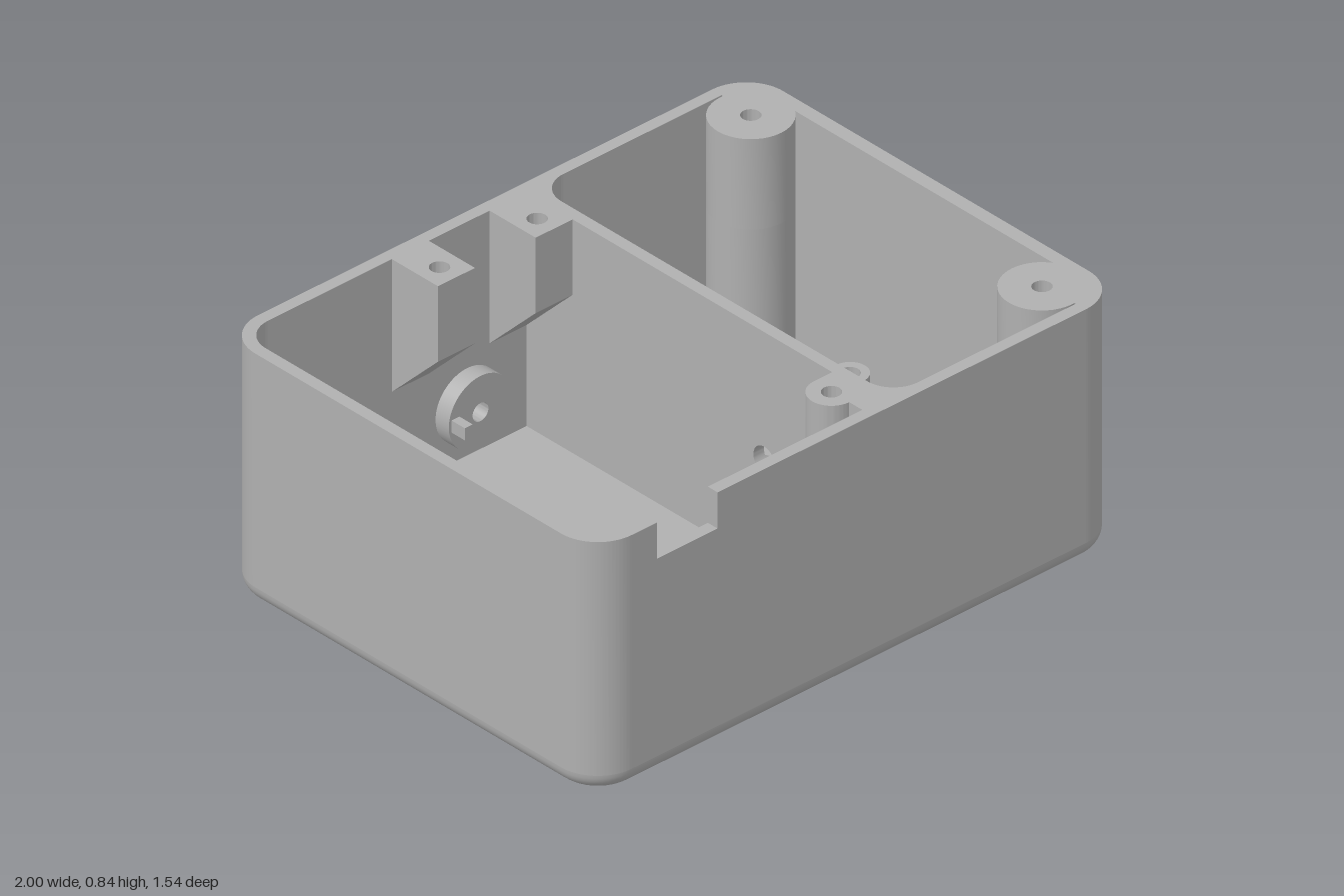
import * as THREE from 'three';
import { toCreasedNormals } from 'three/addons/utils/BufferGeometryUtils.js';

const W = 1, D = 0.77, TOP = 0.835, FLOOR = 0.06, R = 0.14, WALL = 0.04;
const IN = D - WALL; // inner face of the front and back walls

export function createModel() {
  const model = new THREE.Group();
  model.name = 'enclosure';
  const grey = new THREE.MeshStandardMaterial({ color: 0xb0b0b0 });
  grey.name = 'grey plastic';

  const add = (name, geo) => {
    const mesh = new THREE.Mesh(toCreasedNormals(geo, 0.6), grey);
    mesh.name = name;
    model.add(mesh);
    return mesh;
  };
  const extrude = (shape, depth) =>
    new THREE.ExtrudeGeometry(shape, { depth, bevelEnabled: false, curveSegments: 20 });
  // plan shapes use (x, -z) and rise from y0 to y1
  const rise = (shape, y0, y1) => extrude(shape, y1 - y0).rotateX(-Math.PI / 2).translate(0, y0, 0);
  // side shapes use (-z, y) and run from x0 to x1
  const across = (shape, x0, x1) => extrude(shape, x1 - x0).rotateY(Math.PI / 2).translate(x0, 0, 0);
  const poly = (...pts) => new THREE.Shape(pts.map(([x, y]) => new THREE.Vector2(x, y)));
  const rect = (x0, y0, x1, y1) => poly([x0, y0], [x1, y0], [x1, y1], [x0, y1]);
  const disc = (x, y, r) => new THREE.Shape().absarc(x, y, r, 0, Math.PI * 2, false);
  const pierce = (shape, x, y, r) => {
    shape.holes.push(new THREE.Path().absarc(x, y, r, 0, Math.PI * 2, true));
    return shape;
  };

  // outline of the box at a given inset, as (x, -z) points
  const outline = (inset) => {
    const pts = [], n = 12, r = R - inset;
    [[1, 1], [-1, 1], [-1, -1], [1, -1]].forEach(([sx, sy], q) => {
      for (let i = 0; i <= n; i++) {
        const a = (q + i / n) * Math.PI / 2;
        pts.push(new THREE.Vector2(sx * (W - R) + r * Math.cos(a), sy * (D - R) + r * Math.sin(a)));
      }
    });
    return pts;
  };

  // floor with a round hexagonal-lattice grille
  const base = new THREE.Shape(outline(FLOOR));
  const pitch = 0.054, gx = 0.577, gz = 0.08;
  for (let k = -5; k <= 5; k++) {
    for (let i = -5; i <= 5; i++) {
      const dx = (i + (k % 2 ? 0.5 : 0)) * pitch, dz = k * pitch * 0.866;
      if (Math.hypot(dx, dz) < 0.252) {
        base.holes.push(new THREE.Path(
          new THREE.Path().absarc(gx + dx, -(gz + dz), 0.02, 0, Math.PI * 2, true).getPoints(8)));
      }
    }
  }
  add('floor with grille', rise(base, 0, FLOOR));

  // rounded lower edge, closed by a flat ledge under the walls
  const profile = [];
  for (let i = 0; i <= 8; i++) {
    const a = i / 8 * Math.PI / 2;
    profile.push([FLOOR * (1 - Math.sin(a)), FLOOR * (1 - Math.cos(a))]);
  }
  profile.push([FLOOR, FLOOR]);
  const pos = [], idx = [], count = outline(0).length;
  profile.forEach(([inset, y]) => outline(inset).forEach((p) => pos.push(p.x, y, -p.y)));
  for (let j = 0; j < profile.length - 1; j++) {
    for (let i = 0; i < count; i++) {
      const a = j * count + i, b = j * count + (i + 1) % count;
      idx.push(a, b, b + count, a, b + count, a + count);
    }
  }
  const edge = new THREE.BufferGeometry();
  edge.setAttribute('position', new THREE.Float32BufferAttribute(pos, 3));
  edge.setIndex(idx);
  add('rounded lower edge', edge.toNonIndexed());

  // front wall with a cable notch
  const cx = W - R;
  add('front wall', extrude(poly([-cx, FLOOR], [cx, FLOOR], [cx, TOP], [-0.535, TOP],
    [-0.535, 0.715], [-0.765, 0.715], [-0.765, TOP], [-cx, TOP]), WALL)).position.z = IN;

  // back wall with a shaft hole, and the round mount with its locating pin
  const hx = -0.105, hy = 0.23;
  add('back wall', extrude(pierce(rect(-cx, FLOOR, cx, TOP), hx, hy, 0.03), WALL)).position.z = -D;
  add('shaft mount', extrude(pierce(disc(hx, hy, 0.12), hx, hy, 0.03), 0.055)).position.z = -IN;
  add('locating pin', new THREE.BoxGeometry(0.03, 0.04, 0.06)).position.set(-0.2, hy, -0.65);

  // side walls
  const sd = D - R;
  add('right wall', rise(rect(-W, -sd, -W + WALL, sd), FLOOR, TOP));
  add('left wall', rise(rect(W - 0.045, -sd, W, sd), FLOOR, TOP));

  // rounded corners
  [[1, 1], [-1, 1], [-1, -1], [1, -1]].forEach(([sx, sy], q) => {
    const a = q * Math.PI / 2, b = a + Math.PI / 2;
    const corner = new THREE.Shape()
      .absarc(sx * cx, sy * sd, R, a, b, false)
      .absarc(sx * cx, sy * sd, sx > 0 ? 0.09 : R - WALL, b, a, true);
    add('corner', rise(corner, FLOOR, TOP));
  });

  // partition with a wire hole, and the fillets beside it
  add('partition', across(pierce(rect(-IN, FLOOR, IN, TOP), -0.25, 0.41, 0.045), 0.12, 0.16));
  for (const s of [1, -1]) {
    const fillet = new THREE.Shape().moveTo(0.16, s * IN).lineTo(0.26, s * IN)
      .absarc(0.26, s * (IN - 0.1), 0.1, s * Math.PI / 2, s * Math.PI, s < 0);
    add('partition fillet', rise(fillet, FLOOR, TOP));
  }

  // solid column with a blind screw hole in its top
  const column = (name, makeShape, x, y, y1, depth) => {
    add(name, rise(makeShape(), FLOOR, y1 - depth));
    add(name + ' top', rise(pierce(makeShape(), x, y, 0.03), y1 - depth, y1));
  };
  for (const s of [1, -1]) {
    column('corner screw post', () => disc(0.85, s * 0.6, 0.125), 0.85, s * 0.6, TOP, 0.3);
  }
  column('front screw post', () => new THREE.Shape().moveTo(0.13, -0.53).lineTo(0.05, -0.53)
    .absarc(0.05, -0.603, 0.073, Math.PI / 2, Math.PI * 1.5, false)
    .lineTo(0.05, -IN - 0.01).lineTo(0.13, -IN - 0.01), 0.05, -0.603, TOP, 0.3);

  // hanging screw blocks with sloped undersides
  for (const [x0, x1, hole] of [[-0.39, -0.25, -0.32], [-0.02, 0.12, 0.05]]) {
    add('hanging screw block', rise(pierce(rect(x0, 0.54, x1, IN), hole, 0.61, 0.03), 0.585, TOP));
    add('block support', across(poly([IN, 0.585], [0.54, 0.585], [IN, 0.395]), x0, x1));
  }

  // short standoffs around the grille
  for (const x of [0.287, 0.865]) {
    for (const z of [-0.207, 0.37]) column('standoff', () => disc(x, -z, 0.056), x, -z, 0.16, 0.09);
  }
  return model;
}
